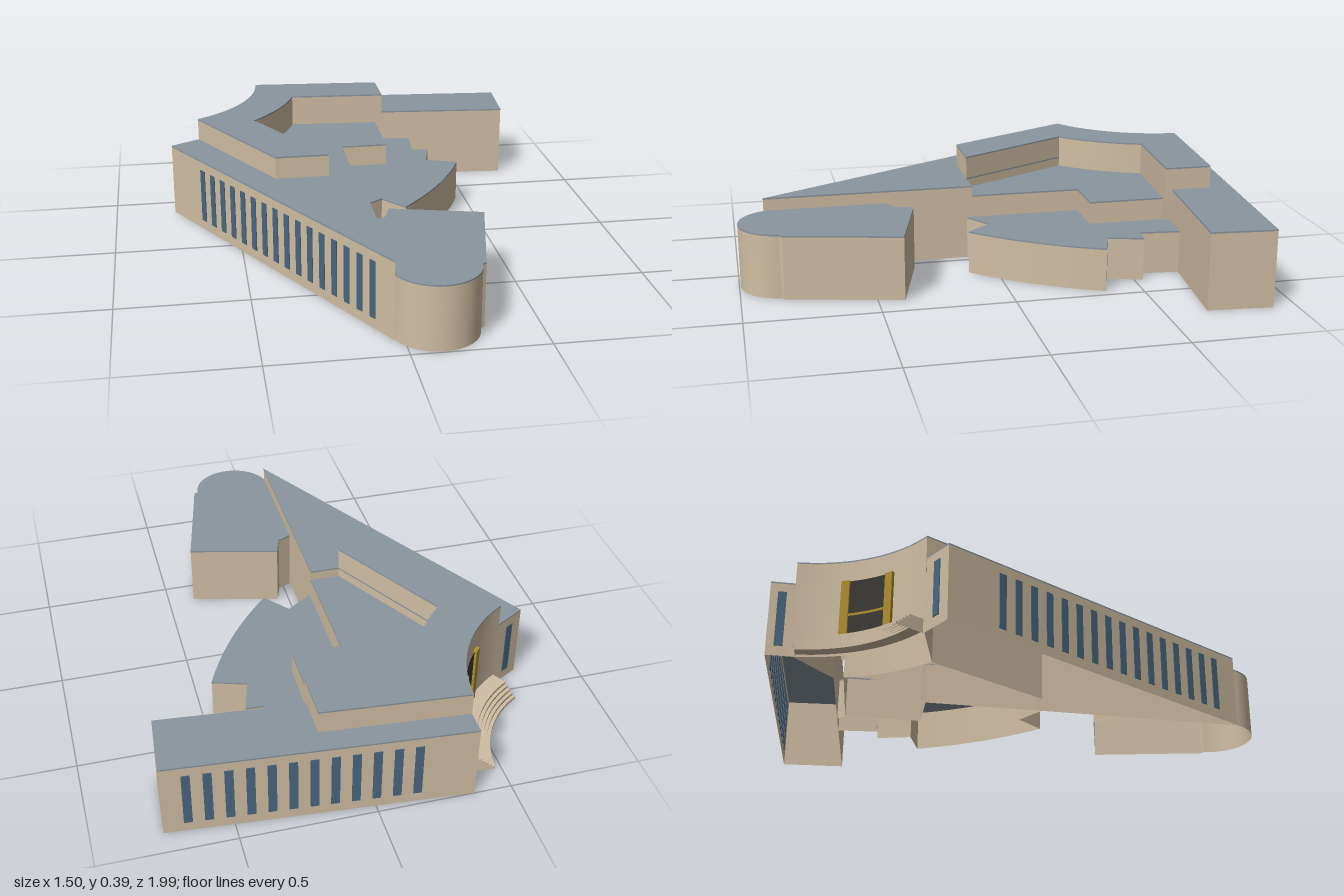
import * as THREE from 'three';
import { toCreasedNormals } from 'three/addons/utils/BufferGeometryUtils.js';

const mat = (color) => new THREE.MeshStandardMaterial({ color, side: THREE.DoubleSide });
const stone = mat(0xd0bea3), slate = mat(0x8a959f), blue = mat(0x4a6780), gold = mat(0xb08f30), dark = mat(0x3c3a36);

// Points [x, z] along an arc, angles in degrees from +x towards +z
function arc(cx, cz, r, from, to, n = 20) {
  return Array.from({ length: n + 1 }, (_, i) => {
    const a = THREE.MathUtils.degToRad(from + (to - from) * i / n);
    return [cx + r * Math.cos(a), cz + r * Math.sin(a)];
  });
}
// The entrance, courtyard and east front share one centre
const PX = -0.91, PZ = -0.935;
const plaza = (r, from, to, n) => arc(PX, PZ, r, from, to, n);

// Upright wall along a plan line
function wall(points, y0, y1, closed) {
  const pos = [];
  const n = points.length;
  for (let i = 0; i < (closed ? n : n - 1); i++) {
    const [ax, az] = points[i], [bx, bz] = points[(i + 1) % n];
    if (Math.hypot(bx - ax, bz - az) < 1e-5) continue;
    pos.push(bx, y0, bz, ax, y0, az, ax, y1, az, bx, y0, bz, ax, y1, az, bx, y1, bz);
  }
  const geo = new THREE.BufferGeometry();
  geo.setAttribute('position', new THREE.Float32BufferAttribute(pos, 3));
  return toCreasedNormals(geo, 0.4);
}

// Hollow block: walls on a plan outline with a thin roof slab, open below
function block(name, plan, y0, y1, roofMat = slate, slab = 0.006) {
  const group = new THREE.Group();
  group.name = name;
  const flat = plan.map(([x, z]) => new THREE.Vector2(x, z));
  const points = THREE.ShapeUtils.isClockWise(flat) ? [...plan].reverse() : plan;
  const walls = new THREE.Mesh(wall(points, y0, y1 - slab, true), stone);
  walls.name = name + 'Walls';
  const shape = new THREE.Shape(points.map(([x, z]) => new THREE.Vector2(x, -z)));
  const roofGeo = new THREE.ExtrudeGeometry(shape, { depth: slab, bevelEnabled: false });
  roofGeo.rotateX(-Math.PI / 2).translate(0, y1 - slab, 0);
  const roof = new THREE.Mesh(roofGeo, roofMat);
  roof.name = name + 'Roof';
  group.add(walls, roof);
  return group;
}

// Thin upright panel centred at fraction t of the plan line a-b
function panel(name, a, b, t, width, y0, y1, material, depth = 0.006) {
  const mesh = new THREE.Mesh(new THREE.BoxGeometry(width, y1 - y0, depth), material);
  mesh.position.set(a[0] + (b[0] - a[0]) * t, (y0 + y1) / 2, a[1] + (b[1] - a[1]) * t);
  mesh.rotation.y = -Math.atan2(b[1] - a[1], b[0] - a[0]);
  mesh.name = name;
  return mesh;
}

export function createModel() {
  const model = new THREE.Group();
  model.name = 'building';
  const backLeft = [0.75, -0.91], backRight = [-0.36, -1];
  const westCorner = [-0.755, -0.39], southTip = [-0.035, 0.89], entranceEnd = [-0.64, -0.455];

  // Main volumes
  model.add(block('backWing', [backRight, backLeft, [0.73, -0.66], [0.19, -0.71], [-0.2, -0.745], [-0.36, -0.9]], 0, 0.3));
  model.add(block('longWing', [entranceEnd, westCorner, southTip, [-0.035, 0.06], [-0.15, 0.06], [-0.405, -0.4]], 0, 0.3));
  model.add(block('upperStorey', [
    ...plaza(0.55, 2.6, 60.5), [-0.36, 0.06], [-0.15, 0.06],
    ...plaza(0.733, 46.7, 18), [0.185, -0.68], [0.185, -0.865],
  ], 0.26, 0.39));
  model.add(block('courtyardBlock', [
    ...plaza(0.733, 18, 46.7), [-0.15, 0.06], [-0.035, 0.06], [-0.035, -0.38], [0.155, -0.38], [0.155, -0.68],
  ], 0, 0.26));
  model.add(block('eastHall', [
    [-0.035, 0.08], [0.07, 0.01], ...plaza(1.488, 44.6, 22.8), [0.335, -0.4], [0.37, -0.535],
    [0.3, -0.54], [0.315, -0.7], [0.19, -0.71], [0.155, -0.68], [0.155, -0.38], [-0.035, -0.38],
  ], 0, 0.17));
  model.add(block('southPavilion', [
    [-0.033, 0.41], [0.02, 0.385], [0.045, 0.31], [0.395, 0.4], [0.295, 0.84],
    ...arc(0.12, 0.835, 0.16, 5, 160, 28), [-0.033, 0.885],
  ], 0, 0.25));

  // Curved entrance wall below the upper storey
  const facade = new THREE.Mesh(wall(plaza(0.55, 2.6, 60.5), 0, 0.26, false), stone);
  facade.name = 'entranceWall';
  model.add(facade);

  // Entrance steps
  const steps = new THREE.Group();
  steps.name = 'entranceSteps';
  for (let i = 0; i < 5; i++) {
    const plan = [...plaza(0.435 + i * 0.013, 4.5, 60), ...plaza(0.549, 60, 4.5)];
    steps.add(block('step', plan, 0, 0.011 * (i + 1), stone, 0.002));
  }
  model.add(steps);

  // Glazed entrance with gilded posts and crossbar
  const door = new THREE.Group();
  door.name = 'entrance';
  const glass = new THREE.Mesh(wall(plaza(0.545, 22, 42, 8), 0.05, 0.3, false), dark);
  glass.name = 'doorGlass';
  const bar = new THREE.Mesh(wall(plaza(0.542, 22, 42, 8), 0.155, 0.165, false), gold);
  bar.name = 'crossbar';
  door.add(glass, bar);
  for (const angle of [22.5, 41.5]) {
    const [a, b] = plaza(0.543, angle - 1.5, angle + 1.5, 1);
    door.add(panel('doorPost', a, b, 0.5, 0.032, 0.05, 0.3, gold, 0.014));
  }
  model.add(door);

  // Tall narrow windows
  const windows = new THREE.Group();
  windows.name = 'windows';
  for (let i = 0; i < 16; i++) {
    windows.add(panel('longWingWindow', westCorner, southTip, 0.165 + i * 0.0502, 0.031, 0.04, 0.26, blue));
  }
  for (let i = 0; i < 12; i++) {
    windows.add(panel('backWingWindow', backLeft, backRight, 0.08 + i * 0.0663, 0.031, 0.04, 0.26, blue));
  }
  windows.add(panel('endWindow', backRight, [-0.36, -0.91], 0.5, 0.032, 0.04, 0.26, blue));
  windows.add(panel('endWindow', entranceEnd, westCorner, 0.5, 0.034, 0.04, 0.26, blue));
  model.add(windows);

  return model;
}
